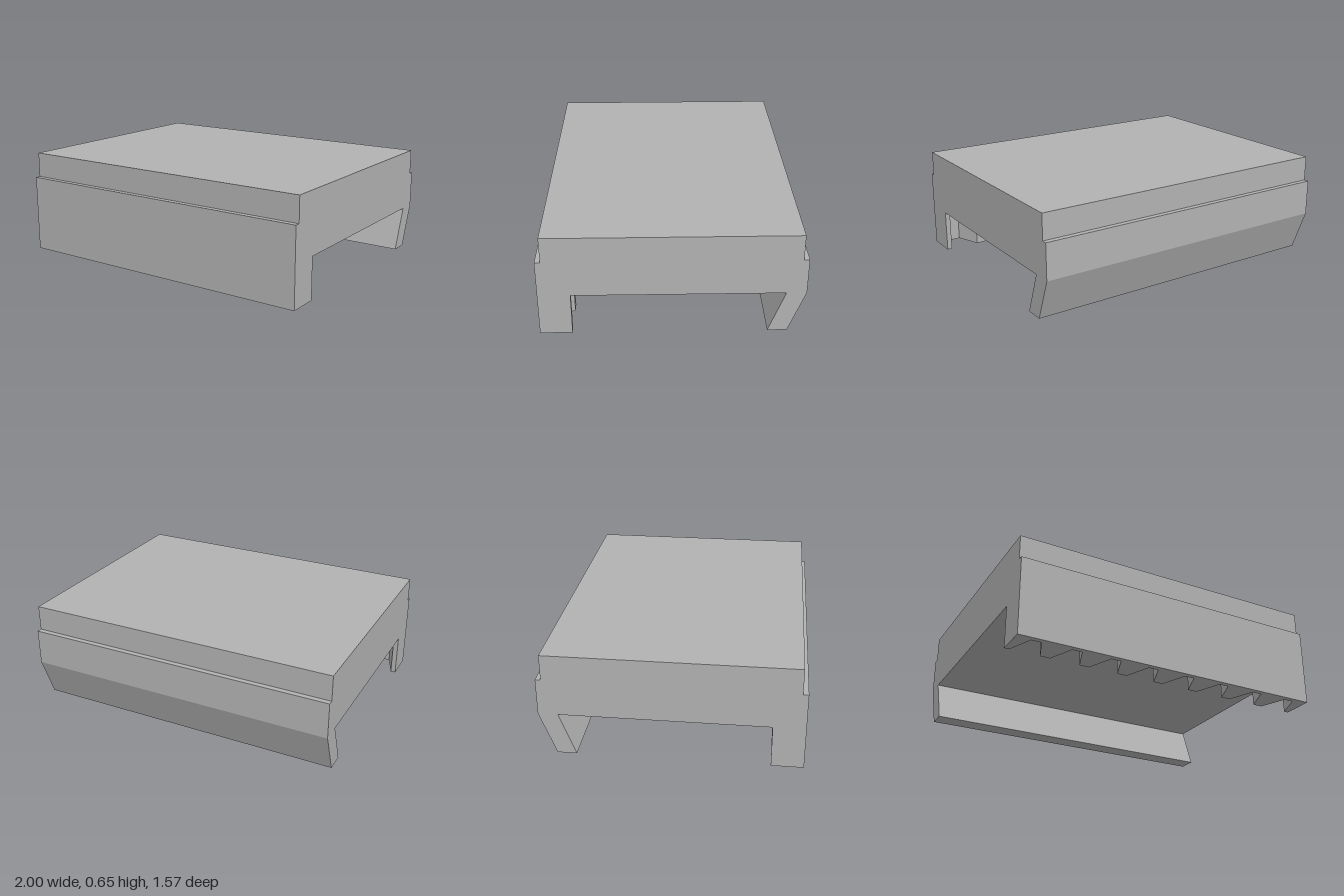
import * as THREE from 'three';

const HALF = 1;          // half length along x
const UNDER = 0.265;     // height of the underside
const OUT = 0.783;       // outer z of the wide lower band
const TOP_Z = 0.75;      // outer z of the upper block

const shapeFrom = (pts) => new THREE.Shape(pts.map(([a, b]) => new THREE.Vector2(a, b)));

export function createModel() {
  const group = new THREE.Group();
  group.name = 'clampBlock';
  const grey = new THREE.MeshStandardMaterial({ color: 0xb2b2b2 });
  grey.name = 'plain grey';

  const add = (name, geometry) => {
    const mesh = new THREE.Mesh(geometry, grey);
    mesh.name = name;
    group.add(mesh);
  };

  // Stepped body with the slanted rear hook: (z, y) profile swept along x
  const profile = shapeFrom([
    [OUT, UNDER], [OUT, 0.492], [TOP_Z, 0.492], [TOP_Z, 0.652],
    [-TOP_Z, 0.652], [-TOP_Z, 0.492], [-OUT, 0.492], [-OUT, UNDER],
    [-0.682, 0], [-0.565, 0], [-0.664, UNDER],
  ]);
  const body = new THREE.ExtrudeGeometry(profile, { depth: 2 * HALF, bevelEnabled: false });
  body.translate(0, 0, -HALF).rotateY(-Math.PI / 2);
  add('bodyWithRearHook', body);

  // Front jaw with eight grooves on its inner side: (x, z) plan swept along y
  const peak = 0.59, valley = TOP_Z, pitch = 0.25, q = pitch / 8;
  const plan = [[HALF, OUT], [-HALF, OUT], [-HALF, peak]];
  for (let i = 0; i < 8; i++) {
    const x = -HALF + i * pitch;
    plan.push([x + q, peak], [x + 3 * q, valley], [x + 5 * q, valley], [x + 7 * q, peak]);
  }
  plan.push([HALF, peak]);
  const jaw = new THREE.ExtrudeGeometry(shapeFrom(plan), { depth: UNDER, bevelEnabled: false });
  jaw.rotateX(Math.PI / 2).translate(0, UNDER, 0);
  add('toothedFrontJaw', jaw);

  return group;
}
